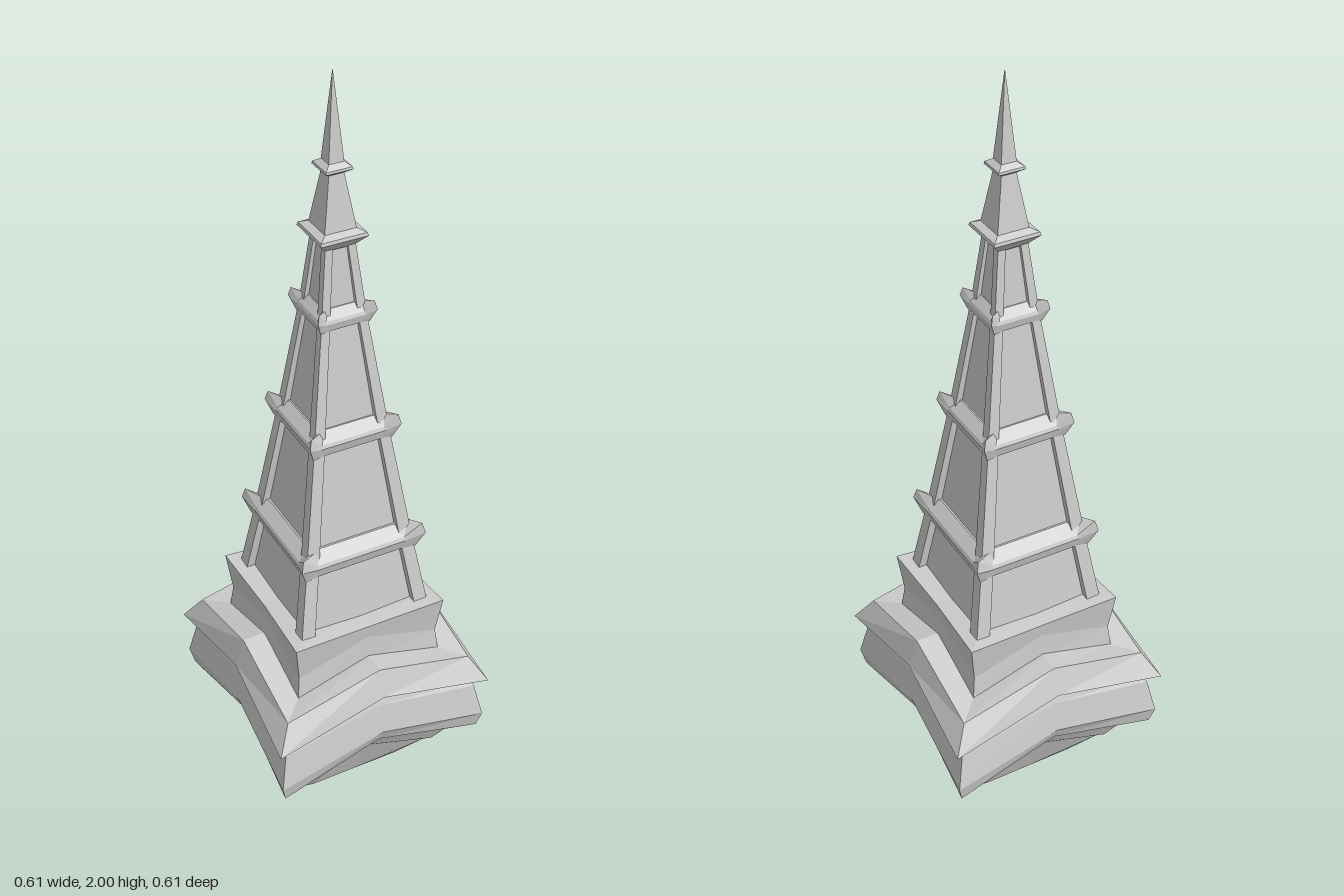
import * as THREE from 'three';

const material = new THREE.MeshStandardMaterial({ color: 0xcccccc, flatShading: true });

// Closed solid through a stack of equal-length rings (counter-clockwise from above)
function loft(name, rings) {
  const pos = [];
  const tri = (...pts) => pts.forEach((p) => pos.push(...p));
  const n = rings[0].length;
  const centre = (r) => [0, 1, 2].map((k) => r.reduce((s, p) => s + p[k], 0) / n);
  const last = rings[rings.length - 1];
  const bottom = centre(rings[0]), top = centre(last);
  for (let i = 0; i < n; i++) {
    const j = (i + 1) % n;
    for (let k = 0; k < rings.length - 1; k++) {
      const a = rings[k], b = rings[k + 1];
      tri(a[i], a[j], b[j]);
      tri(a[i], b[j], b[i]);
    }
    tri(bottom, rings[0][j], rings[0][i]);
    tri(top, last[i], last[j]);
  }
  const geometry = new THREE.BufferGeometry();
  geometry.setAttribute('position', new THREE.Float32BufferAttribute(pos, 3));
  geometry.computeVertexNormals();
  const mesh = new THREE.Mesh(geometry, material);
  mesh.name = name;
  return mesh;
}

// Repeats one side's points [outward, y, along] around the four sides
function fourSided(side) {
  const turns = [
    (o, a) => [o, a], (o, a) => [a, -o], (o, a) => [-o, -a], (o, a) => [-a, o],
  ];
  return turns.flatMap((t) => side.map(([o, y, a]) => {
    const [x, z] = t(o, a);
    return [x, y, z];
  }));
}

const square = (h, y) => fourSided([[h, y, h]]);
// Square with its side midpoints set in and lifted
const peaked = ([c, yc, m, ym]) => fourSided([[c, yc, c], [m, ym, 0]]);
// Square with straight sides between flared, lifted corners
const cornered = ([c, yc, m, ym]) =>
  fourSided([[c, yc, c], [m, ym, m * 0.78], [m, ym, -m * 0.78]]);

export function createModel() {
  const group = new THREE.Group();

  // Moulded base: [corner half width, corner y, middle half width, middle y]
  group.add(loft('base', [
    [0.127, 0, 0.127, 0],
    [0.185, 0.08, 0.18, 0.138],
    [0.2, 0.09, 0.19, 0.15],
    [0.225, 0.135, 0.22, 0.21],
    [0.285, 0.18, 0.265, 0.243],
    [0.296, 0.225, 0.28, 0.28],
    [0.277, 0.32, 0.265, 0.365],
    [0.268, 0.335, 0.258, 0.385],
    [0.303, 0.35, 0.285, 0.41],
    [0.262, 0.42, 0.26, 0.485],
    [0.205, 0.43, 0.205, 0.485],
  ].map(peaked)));

  // Plinth under the tower
  group.add(loft('plinth', [
    [0.205, 0.42, 0.2, 0.47],
    [0.197, 0.49, 0.195, 0.545],
    [0.21, 0.595, 0.2, 0.585],
    [0.175, 0.595, 0.16, 0.588],
  ].map(peaked)));

  // Tower taper: [y, half width, panel depth, post width]
  const taper = [
    [0.57, 0.182, 0.022, 0.037],
    [0.79, 0.147, 0.02, 0.034],
    [1.11, 0.1, 0.017, 0.028],
    [1.42, 0.058, 0.012, 0.022],
    [1.62, 0.036, 0.008, 0.019],
  ];
  group.add(loft('towerPanels', taper.map(([y, h, d]) => square(h - d, y))));

  // Corner posts framing the panels
  for (let i = 0; i < 4; i++) {
    const post = loft('cornerPost', taper.map(([y, h, , w]) => [
      [h, y, h], [h, y, h - w], [h - w, y, h - w], [h - w, y, h],
    ]));
    post.rotation.y = i * Math.PI / 2;
    group.add(post);
  }

  // Bands with flared, raised corners: [y, tower half width, size, panel depth]
  const bands = [[0.79, 0.147, 1, 0.02], [1.11, 0.1, 0.9, 0.017], [1.42, 0.058, 0.75, 0.012]];
  for (const [y, h, s, d] of bands) {
    group.add(loft('towerBand', [
      [h, y - 0.04 * s, h - 0.004, y - 0.035 * s],
      [h + 0.008 * s, y - 0.03 * s, h + 0.004, y - 0.03 * s],
      [h + 0.025 * s, y + 0.015 * s, h + 0.012 * s, y - 0.002],
      [h + 0.018 * s, y + 0.043 * s, h + 0.008 * s, y + 0.008 * s],
      [h - 0.01, y + 0.035 * s, h - d, y + 0.035 * s],
    ].map(cornered)));
  }

  // Collars and needle of the spire: [half width, y]
  group.add(loft('spire', [
    [0.036, 1.59], [0.06, 1.618], [0.058, 1.626], [0.04, 1.634],
    [0.019, 1.765], [0.034, 1.776], [0.033, 1.782], [0.019, 1.792], [0.0005, 2],
  ].map(([h, y]) => square(h, y))));

  return group;
}
